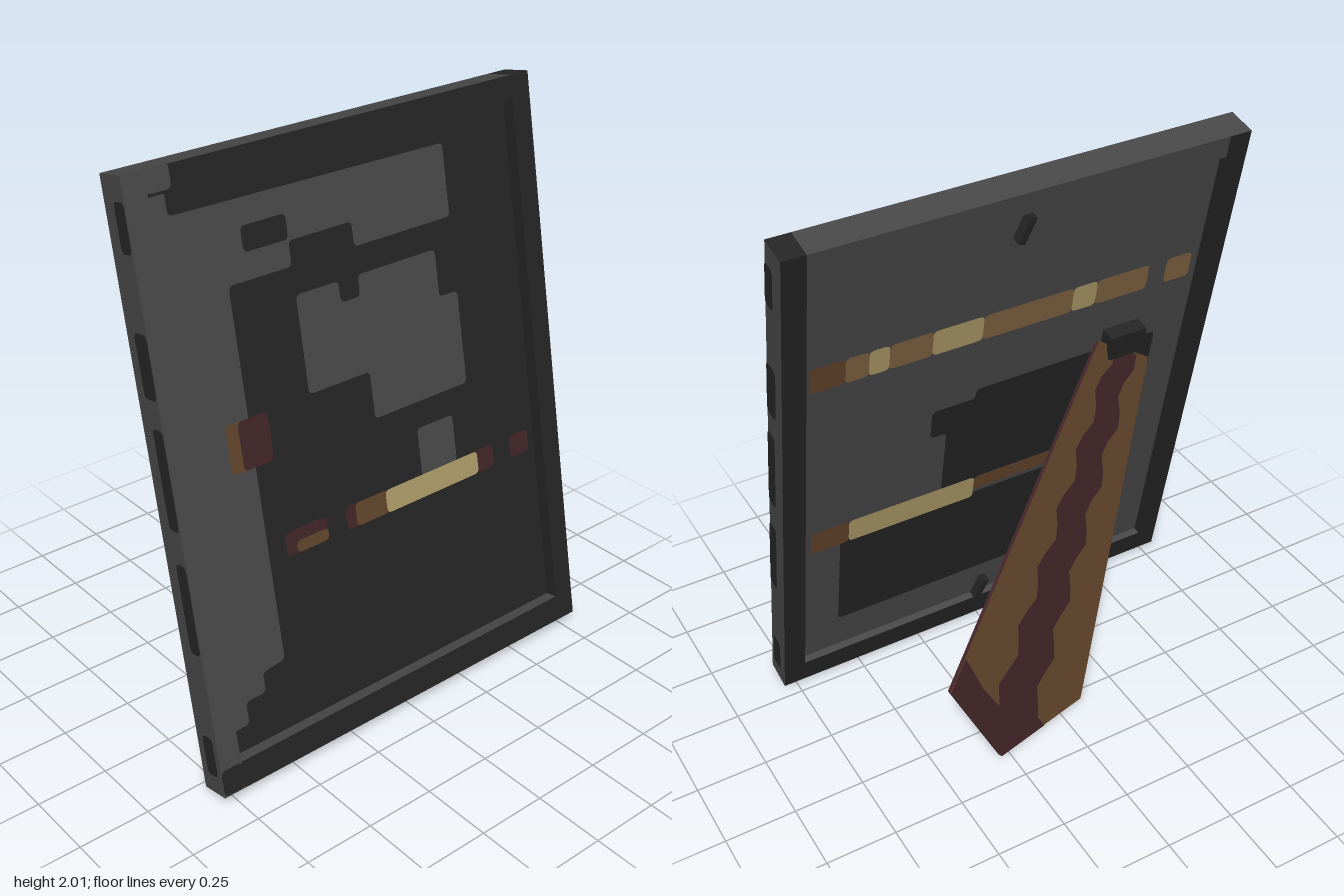
import * as THREE from 'three';

const mat = (name, color) => {
  const m = new THREE.MeshStandardMaterial({ color });
  m.name = name;
  return m;
};

// Closed outline with slightly rounded corners
function outline(points, r = 0.018) {
  const p = points.map(([x, y]) => new THREE.Vector2(x, y));
  const s = new THREE.Shape();
  p.forEach((c, i) => {
    const prev = p[(i + p.length - 1) % p.length], next = p[(i + 1) % p.length];
    const toward = (q) => c.clone().add(q.clone().sub(c).setLength(Math.min(r, q.distanceTo(c) * 0.45)));
    const a = toward(prev), b = toward(next);
    if (i === 0) s.moveTo(a.x, a.y); else s.lineTo(a.x, a.y);
    s.quadraticCurveTo(c.x, c.y, b.x, b.y);
  });
  s.closePath();
  return s;
}
const rect = (a, b, c, d) => [[a, b], [c, b], [c, d], [a, d]];

export function createModel() {
  const model = new THREE.Group();
  const grey = mat('grey', 0x484848), charcoal = mat('charcoal', 0x252525);
  const tan = mat('tan', 0xae9c69), ochre = mat('ochre', 0x816542);
  const brown = mat('brown', 0x63452b), maroon = mat('maroon', 0x422527);

  // Leaning board: local x is thickness, y height, z width
  const T = 0.107, H = 2.006, W = 1.6, R = 0.08, B = 0.095;
  const board = new THREE.Group();
  board.name = 'leaningBoard';
  board.position.set(0.148, 1.005, 0);
  board.rotation.z = 0.193;
  model.add(board);

  const box = (parent, name, size, pos, material) => {
    const m = new THREE.Mesh(new THREE.BoxGeometry(...size), material);
    m.name = name;
    m.position.set(...pos);
    parent.add(m);
    return m;
  };

  // Frame rails; face order +x -x +y -y +z -z
  const railZ = W / 2 - R / 2;
  box(board, 'frontSideRail', [T, H, R], [0, 0, railZ], [grey, charcoal, grey, charcoal, grey, charcoal]);
  box(board, 'rearSideRail', [T, H, R], [0, 0, -railZ], [charcoal, charcoal, charcoal, charcoal, charcoal, grey]);
  box(board, 'topRail', [T, R, W - 2 * R], [0, H / 2 - R / 2, 0], [charcoal, grey, grey, charcoal, charcoal, charcoal]);
  box(board, 'bottomRail', [T, B, W - 2 * R], [0, B / 2 - H / 2, 0], [charcoal, charcoal, grey, charcoal, charcoal, charcoal]);

  // Recessed panel
  const front = 0.008, back = -0.026;
  box(board, 'panel', [front - back, H - R - B, W - 2 * R], [(front + back) / 2, (B - R) / 2, 0],
    [charcoal, grey, grey, grey, grey, grey]);

  // Painted patches; outlines are [z, height] on the broad faces, [x, height] on the ends
  const level = (y) => (y - 1.01) / 0.9815;
  const plate = (name, pts, material, turn, flip, pos) => {
    const m = new THREE.Mesh(new THREE.ShapeGeometry(outline(pts.map(([a, y]) => [flip * a, level(y)])), 4), material);
    m.name = name;
    m.rotation.y = turn;
    m.position.set(...pos);
    board.add(m);
  };
  const onFront = (name, pts, material, lift = 0.002) =>
    plate(name, pts, material, Math.PI / 2, -1, [front + lift, 0, 0]);
  const onBack = (name, pts, material, lift = 0.002) =>
    plate(name, pts, material, -Math.PI / 2, 1, [back - lift, 0, 0]);

  // Front face paint
  onFront('greyMargin', [[0.72, 1.92], [0.64, 1.92], [0.64, 1.84], [-0.43, 1.83], [-0.43, 1.59], [-0.02, 1.59],
    [-0.02, 1.67], [0.23, 1.67], [0.23, 1.59], [0.47, 1.59], [0.47, 0.36], [0.56, 0.35], [0.56, 0.28],
    [0.64, 0.28], [0.64, 0.2], [0.72, 0.2]], grey);
  onFront('darkBlot', rect(0.4, 1.675, 0.23, 1.755), charcoal, 0.004);
  onFront('greyCloud', [[0.23, 1.5], [0.06, 1.5], [0.06, 1.43], [-0.02, 1.43], [-0.02, 1.5], [-0.35, 1.5],
    [-0.35, 1.34], [-0.43, 1.34], [-0.43, 1.02], [-0.02, 1.02], [-0.02, 1.18], [0.23, 1.18]], grey);
  onFront('greySpot', rect(-0.19, 0.76, -0.35, 0.93), grey);
  onFront('sealLeft', rect(0.56, 1.02, 0.48, 1.18), brown, 0.004);
  onFront('sealRight', rect(0.515, 1.02, 0.4, 1.18), maroon, 0.006);
  for (const [a, b, m, lift, top] of [
    [0.4, 0.23, maroon, 0.003, 0.77], [0.36, 0.23, brown, 0.005, 0.73],
    [0.15, 0.02, maroon, 0.003, 0.77], [0.11, -0.03, brown, 0.005, 0.77],
    [-0.42, -0.52, maroon, 0.003, 0.77], [-0.02, -0.44, tan, 0.007, 0.77], [-0.6, -0.69, maroon, 0.003, 0.77],
  ]) onFront('frontBand', rect(a, 0.69, b, top), m, lift);
  const railFront = T / 2 - front + 0.002;
  onFront('railCornerPatch', rect(0.725, 1.925, 0.64, 1.998), grey, railFront);
  onFront('railFootPatch', rect(0.8, 0.03, 0.72, 0.12), charcoal, railFront);

  // Back face paint
  onBack('darkUpperPatch', [[-0.26, 1.05], [-0.26, 1.17], [-0.1, 1.17], [-0.1, 1.21], [0.6, 1.21],
    [0.6, 0.75], [-0.2, 0.75], [-0.2, 1.05]], charcoal);
  onBack('darkLowerPatch', rect(-0.58, 0.27, 0.6, 0.7), charcoal);
  for (const [a, b, m] of [[-0.7, -0.58, brown], [-0.58, -0.5, ochre], [-0.5, -0.43, tan], [-0.43, -0.28, ochre],
    [-0.28, -0.1, tan], [-0.1, 0.23, ochre], [0.23, 0.32, tan], [0.32, 0.52, ochre], [0.59, 0.69, ochre]])
    onBack('upperBackBand', rect(a, 1.43, b, 1.53), m, 0.004);
  for (const [a, b, m] of [[-0.69, -0.55, brown], [-0.55, -0.07, tan], [-0.07, 0.52, brown]])
    onBack('lowerBackBand', rect(a, m === brown && a > -0.5 ? 0.72 : 0.68, b, 0.78), m, 0.004);

  // Dark notches painted on both ends
  for (const s of [1, -1])
    for (const [a, b, y0, y1] of [[0, 0.053, 1.77, 1.92], [-0.012, 0.053, 1.34, 1.54], [0, 0.053, 0.93, 1.25],
      [0, 0.053, 0.52, 0.82], [-0.02, 0.035, 0.09, 0.23]])
      plate('endNotch', rect(a, y0, b, y1), charcoal, s > 0 ? 0 : Math.PI, s, [0, 0, s * (W / 2 + 0.002)]);

  // Small clips on the back
  for (const y of [0.86, -0.87]) {
    const clip = box(board, 'backClip', [0.035, 0.1, 0.025], [-0.043, y, 0], charcoal);
    clip.rotation.x = 0.35;
  }
  box(board, 'hinge', [0.06, 0.1, 0.14], [-0.05, 0.24, 0.45], charcoal);

  // Rear prop: a thin blade that widens downward to a pointed foot
  const foot = new THREE.Vector3(-0.4, 0.012, -0.29);
  const up = new THREE.Vector3(0.455, 1.175, 0.75).normalize();
  const across = new THREE.Vector3().crossVectors(up, new THREE.Vector3(-0.94, 0.2, 0.27)).normalize();
  const out = new THREE.Vector3().crossVectors(across, up);
  const prop = new THREE.Group();
  prop.name = 'rearProp';
  prop.applyMatrix4(new THREE.Matrix4().makeBasis(across, up, out).setPosition(foot));
  model.add(prop);

  const thick = 0.014;
  const shapeOf = (pts) => new THREE.Shape(pts.map(([x, y]) => new THREE.Vector2(x, y)));
  const blade = new THREE.Mesh(new THREE.ExtrudeGeometry(
    shapeOf([[0, 0], [0.34, 0.22], [0.14, 1.466], [-0.14, 1.466], [-0.35, 0.22]]),
    { depth: thick, bevelEnabled: false }), [brown, maroon]);
  blade.name = 'propBlade';
  blade.position.z = -thick;
  prop.add(blade);

  const inlay = (name, pts, material, z, inner) => {
    const g = new THREE.ShapeGeometry(shapeOf(pts.map(([x, y]) => [inner ? -x : x, y])));
    const m = new THREE.Mesh(g, material);
    m.name = name;
    if (inner) m.rotation.y = Math.PI;
    m.position.z = z;
    prop.add(m);
  };
  // Wavy strip between two half-width rules
  const wavy = (y0, y1, half, sway, n = 26) => {
    const left = [], right = [];
    for (let i = 0; i <= n; i++) {
      const y = y0 + (y1 - y0) * i / n, w = 0.025 * Math.sin(i * 1.55);
      right.push([half(y) + w, y]);
      left.unshift([-half(y) + w * sway, y]);
    }
    return [...right, ...left];
  };
  // Outer face: dark centre streak and foot rim
  inlay('propStreak', wavy(0.1, 1.46, (y) => 0.11 - 0.035 * y, 1), maroon, 0.002);
  inlay('propFootRim', [[0, 0], [0.18, 0.117], [0.1, 0.16], [0, 0.13], [-0.2, 0.24], [-0.33, 0.34], [-0.35, 0.22]],
    maroon, 0.003);
  // Inner face: dark rim, brown band, ochre heart
  const edge = (y, inset) => 0.374 - 0.16 * y - inset;
  const heart = (inset, tip) => [[0, tip], ...wavy(tip + 0.17, 1.44, (y) => Math.max(0.03, edge(y, inset)), -1)];
  inlay('propInnerBand', heart(0.08, 0.08), brown, -thick - 0.002, true);
  inlay('propInnerHeart', heart(0.17, 0.18), ochre, -thick - 0.004, true);

  return model;
}
